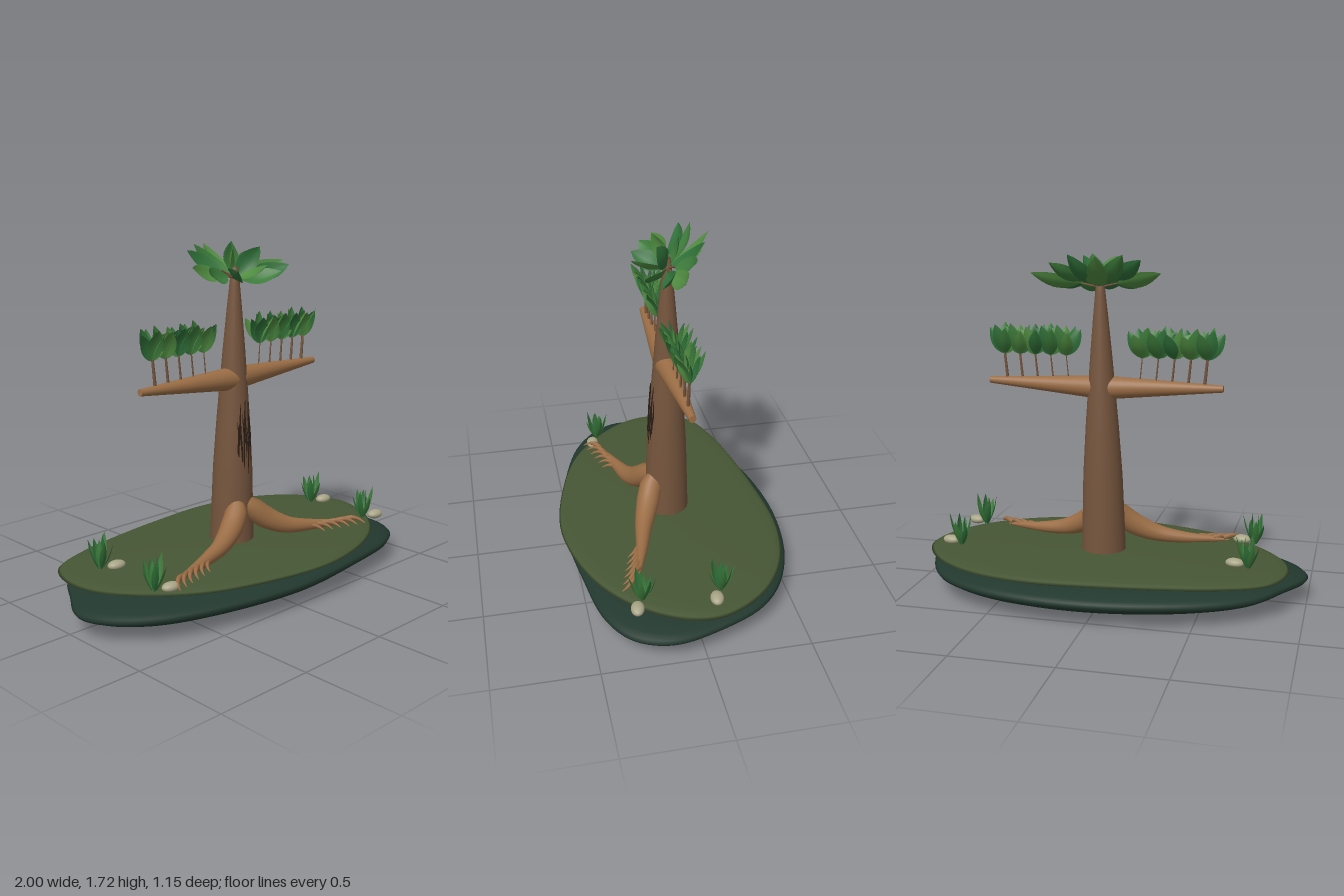
import * as THREE from 'three';
import { mergeVertices } from 'three/addons/utils/BufferGeometryUtils.js';

const V = (x, y, z) => new THREE.Vector3(x, y, z);
const mat = (color, side = THREE.FrontSide) => {
  const m = new THREE.MeshStandardMaterial({ side });
  m.color.set(color);
  return m;
};
const bark = mat(0x75553d), wood = mat(0x9a6d45), groove = mat(0x2a1d15), stone = mat(0xa8a486);
const soil = mat(0x22382e), turf = mat(0x465634);
const greens = [0x4f8a40, 0x2f6f38, 0x3c7a3a].map((c) => mat(c, THREE.DoubleSide));
const CX = 0.037; // the tree stands slightly off centre

function add(parent, name, geometry, material) {
  const mesh = new THREE.Mesh(geometry, material);
  mesh.name = name;
  parent.add(mesh);
  return mesh;
}

function addGroup(parent, name) {
  const g = new THREE.Group();
  g.name = name;
  parent.add(g);
  return g;
}

// Rounded slab: a lathe whose rings follow a free outline of [x, z] points
function slab(outline, profile) {
  const seg = 96;
  const curve = new THREE.CatmullRomCurve3(outline.map(([x, z]) => V(x, 0, z)), true);
  const geo = new THREE.LatheGeometry(profile.map(([r, y]) => new THREE.Vector2(r, y)), seg);
  const p = geo.attributes.position, n = profile.length;
  for (let i = 0; i <= seg; i++) {
    const c = curve.getPoint((i % seg) / seg);
    for (let j = 0; j < n; j++) p.setXYZ(i * n + j, c.x * profile[j][0], profile[j][1], c.z * profile[j][0]);
  }
  geo.deleteAttribute('uv');
  geo.deleteAttribute('normal');
  const merged = mergeVertices(geo);
  merged.computeVertexNormals();
  return merged;
}

// Tube along points, its radius running through a list of values
function taperedTube(points, radii, n = 24, sides = 16) {
  const curve = new THREE.CatmullRomCurve3(points);
  const geo = new THREE.TubeGeometry(curve, n, 1, sides);
  const p = geo.attributes.position, v = V(0, 0, 0);
  for (let i = 0; i <= n; i++) {
    const c = curve.getPointAt(i / n), t = (i / n) * (radii.length - 1);
    const k = Math.min(Math.floor(t), radii.length - 2);
    const r = THREE.MathUtils.lerp(radii[k], radii[k + 1], t - k);
    for (let j = 0; j <= sides; j++) {
      const id = i * (sides + 1) + j;
      v.fromBufferAttribute(p, id).sub(c).multiplyScalar(r).add(c);
      p.setXYZ(id, v.x, v.y, v.z);
    }
  }
  return geo;
}

// Straight tapered rod between two points
function rod(parent, name, a, b, ra, rb, material, sides = 20) {
  const d = b.clone().sub(a);
  const mesh = add(parent, name, new THREE.CylinderGeometry(rb, ra, d.length(), sides), material);
  mesh.position.copy(a).addScaledVector(d, 0.5);
  mesh.quaternion.setFromUnitVectors(V(0, 1, 0), d.normalize());
}

// Pointed leaf from base to tip, folded on its midrib and bent toward its face
function leaf(parent, name, base, tip, width, facing, bend, material) {
  const len = base.distanceTo(tip);
  const geo = new THREE.PlaneGeometry(1, 1, 4, 8);
  const p = geo.attributes.position;
  for (let i = 0; i < p.count; i++) {
    const u = p.getX(i) * 2, t = p.getY(i) + 0.5;
    const half = (width / 2) * Math.sin(Math.PI * Math.pow(t, 0.9)) ** 0.85 || 0;
    p.setXYZ(i, u * half, t * len, Math.abs(u) * half * 0.3 - bend * len * Math.sin(Math.PI * t));
  }
  geo.computeVertexNormals();
  const mesh = add(parent, name, geo, material);
  const y = tip.clone().sub(base).normalize();
  const x = y.clone().cross(facing).normalize();
  mesh.quaternion.setFromRotationMatrix(new THREE.Matrix4().makeBasis(x, y, x.clone().cross(y)));
  mesh.position.copy(base);
}

export function createModel() {
  const model = new THREE.Group();
  model.name = 'treeOnIsland';

  // Island: dark underside and grassy top
  const dome = [];
  for (let i = 0; i <= 20; i++) {
    const a = (i / 20 - 0.5) * Math.PI;
    dome.push([i % 20 ? Math.cos(a) : 0, 0.11 + Math.sin(a) * (a < 0 ? 0.11 : 0.075)]);
  }
  add(model, 'islandBase', slab([[0, 0.545], [0.48, 0.5], [0.775, 0.44], [0.935, 0.33], [0.995, 0.165],
    [0.95, -0.05], [0.8, -0.34], [0.5, -0.515], [0, -0.573], [-0.53, -0.46], [-0.78, -0.31],
    [-0.9, -0.13], [-1, 0.06], [-0.96, 0.2], [-0.8, 0.35], [-0.48, 0.47]], dome), soil);
  add(model, 'islandTop', slab([[0.16, 0.57], [0.56, 0.47], [0.8, 0.3], [0.935, 0.085], [0.95, -0.085],
    [0.83, -0.3], [0.615, -0.45], [0.32, -0.52], [-0.08, -0.5], [-0.4, -0.455], [-0.61, -0.41],
    [-0.83, -0.315], [-0.91, -0.155], [-0.9, 0.02], [-0.8, 0.19], [-0.56, 0.395], [-0.24, 0.515]],
  [[0, 0.165], [0.9, 0.172], [0.97, 0.178], [1, 0.188], [0.985, 0.197], [0.94, 0.204], [0.8, 0.21], [0, 0.215]]), turf);

  // Trunk, leaning a touch
  const trunkGeo = new THREE.LatheGeometry([[0.113, 0.2], [0.11, 0.3], [0.1, 0.6], [0.084, 0.85], [0.068, 1.05],
    [0.056, 1.2], [0.038, 1.4], [0.026, 1.52], [0.018, 1.6], [0, 1.605]].map((q) => new THREE.Vector2(...q)), 32);
  const tp = trunkGeo.attributes.position;
  for (let i = 0; i < tp.count; i++) tp.setX(i, tp.getX(i) + CX + 0.018 * (tp.getY(i) - 0.2) / 1.4);
  add(model, 'trunk', trunkGeo, bark);

  // Dark bark grooves on the front of the trunk
  const grooves = addGroup(model, 'barkGrooves');
  [[-0.038, 0.62, 0.84], [-0.025, 0.55, 0.93], [-0.01, 0.52, 0.88], [0.004, 0.6, 0.95],
    [0.018, 0.5, 0.82], [0.032, 0.55, 0.94], [0.043, 0.64, 0.86]].forEach(([dx, y0, y1], i) => {
    const pts = [0, 0.33, 0.67, 1].map((t, k) => {
      const y = THREE.MathUtils.lerp(y0, y1, t), r = 0.121 - 0.043 * y;
      const x = dx + (k % 2 ? 0.003 : -0.003) * (i % 2 ? 1 : -1);
      return V(CX + 0.006 + x, y, Math.sqrt(r * r - x * x));
    });
    add(grooves, 'barkGroove', taperedTube(pts, [0.001, 0.006, 0.006, 0.001], 12, 6), groove);
  });

  for (const s of [-1, 1]) {
    const side = s > 0 ? 'left' : 'right';
    const at = (x, y, z) => V(CX + s * x, y, z);

    // Branch with five upright twigs, each bearing a fan of leaves
    const limb = addGroup(model, side + 'Branch');
    rod(limb, 'branch', at(0, 1.05, 0.005), at(0.6, 1.067, 0.005), 0.06, 0.017, wood, 28);
    for (let k = 0; k < 5; k++) {
      const x = 0.505 - k * 0.081, r = 0.0085 - k * 0.0013;
      const top = at(x + 0.015, 1.215, 0.003);
      rod(limb, 'twig', at(x, 1.06, 0.005), top, r, r * 0.75, bark, 8);
      [[-0.075, 0.115, 0.01], [0.08, 0.115, 0.015], [0.02, 0.13, 0.075], [-0.035, 0.125, 0.06],
        [0.035, 0.135, -0.04], [-0.03, 0.115, -0.08]].forEach(([dx, dy, dz], i) => {
        const tip = top.clone().add(V(s * dx, dy + ((k + i) % 3) * 0.007, dz));
        const base = top.clone().add(V(0, -0.012, 0));
        const facing = i === 2 || i === 3 ? V(s * (i === 2 ? 0.5 : -0.5), 0.3, 0.8) : V(0, 0.15, 1);
        leaf(limb, 'branchLeaf', base, tip, 0.07, facing, 0.08, greens[(i + k) % 3]);
      });
    }

    // Large root sweeping forward, with claw-like rootlets
    const root = addGroup(model, side + 'Root');
    const path = [at(0.015, 0.43, 0.045), at(0.05, 0.385, 0.085), at(0.13, 0.315, 0.125), at(0.24, 0.262, 0.165),
      at(0.38, 0.236, 0.2), at(0.52, 0.225, 0.24), at(0.61, 0.216, 0.27)];
    add(root, 'root', taperedTube(path, [0.03, 0.058, 0.058, 0.05, 0.04, 0.032, 0.024, 0.016, 0.003], 40), wood);
    for (let k = 0; k < 6; k++) {
      const x = 0.33 + k * 0.05, z = 0.188 + k * 0.014;
      add(root, 'rootlet', taperedTube([at(x, 0.235 - k * 0.001, z), at(x + 0.045, 0.238, z + 0.03),
        at(x + 0.075, 0.226, z + 0.06), at(x + 0.085, 0.21, z + 0.09)], [0.014, 0.013, 0.009, 0.002], 12, 8), wood);
    }
  }

  // Crown of broad leaves, spread wide and tipped up
  const crown = addGroup(model, 'crown');
  const heart = V(0.055, 1.55, 0);
  [[-0.245, 1.62, 0.02], [-0.17, 1.69, -0.1], [-0.09, 1.715, -0.14], [0.03, 1.71, -0.2], [0.18, 1.715, -0.15],
    [0.29, 1.67, -0.09], [0.41, 1.615, -0.01], [0.37, 1.6, 0.07], [0.24, 1.58, 0.14], [0.1, 1.62, 0.18],
    [-0.07, 1.6, 0.15], [-0.2, 1.6, 0.09], [-0.02, 1.7, 0.06], [0.16, 1.7, 0.07], [0.08, 1.715, -0.05],
    [0.05, 1.63, -0.17]].forEach((t, i) => {
    const tip = V(...t), base = heart.clone().lerp(tip, Math.abs(t[0] - 0.055) > 0.2 ? 0.28 : 0.05);
    leaf(crown, 'crownLeaf', base, tip, 0.1, V(0, 0.65, 0.75), 0.12, greens[i % 3]);
    rod(crown, 'crownStem', heart, base, 0.006, 0.004, bark, 6);
  });

  // Grass tufts, each beside a pebble
  [[-0.72, -0.125], [-0.71, 0.26], [0.775, -0.11], [0.775, 0.265]].forEach(([x, z], n) => {
    const tuft = addGroup(model, 'grassTuft');
    for (let i = 0; i < 8; i++) {
      const a = i * 2.4 + n * 0.3, spread = i < 2 ? 0.015 : 0.055 + 0.01 * (i % 2);
      const out = V(Math.cos(a), 0, Math.sin(a));
      const base = V(x, 0.205, z).addScaledVector(out, 0.008);
      const tip = V(x, 0.375 - 0.013 * (i % 5), z).addScaledVector(out, spread);
      leaf(tuft, 'grassBlade', base, tip, 0.034, out.clone().negate().add(V(0, 0.2, 0.1)), 0.06, greens[1 + (i % 2)]);
    }
    const pebble = add(model, 'pebble', new THREE.SphereGeometry(1, 20, 14), stone);
    pebble.scale.set(0.047, 0.024, 0.032);
    pebble.position.set(x + 0.07, 0.218, z + 0.035);
    pebble.rotation.y = -0.15;
  });

  return model;
}
